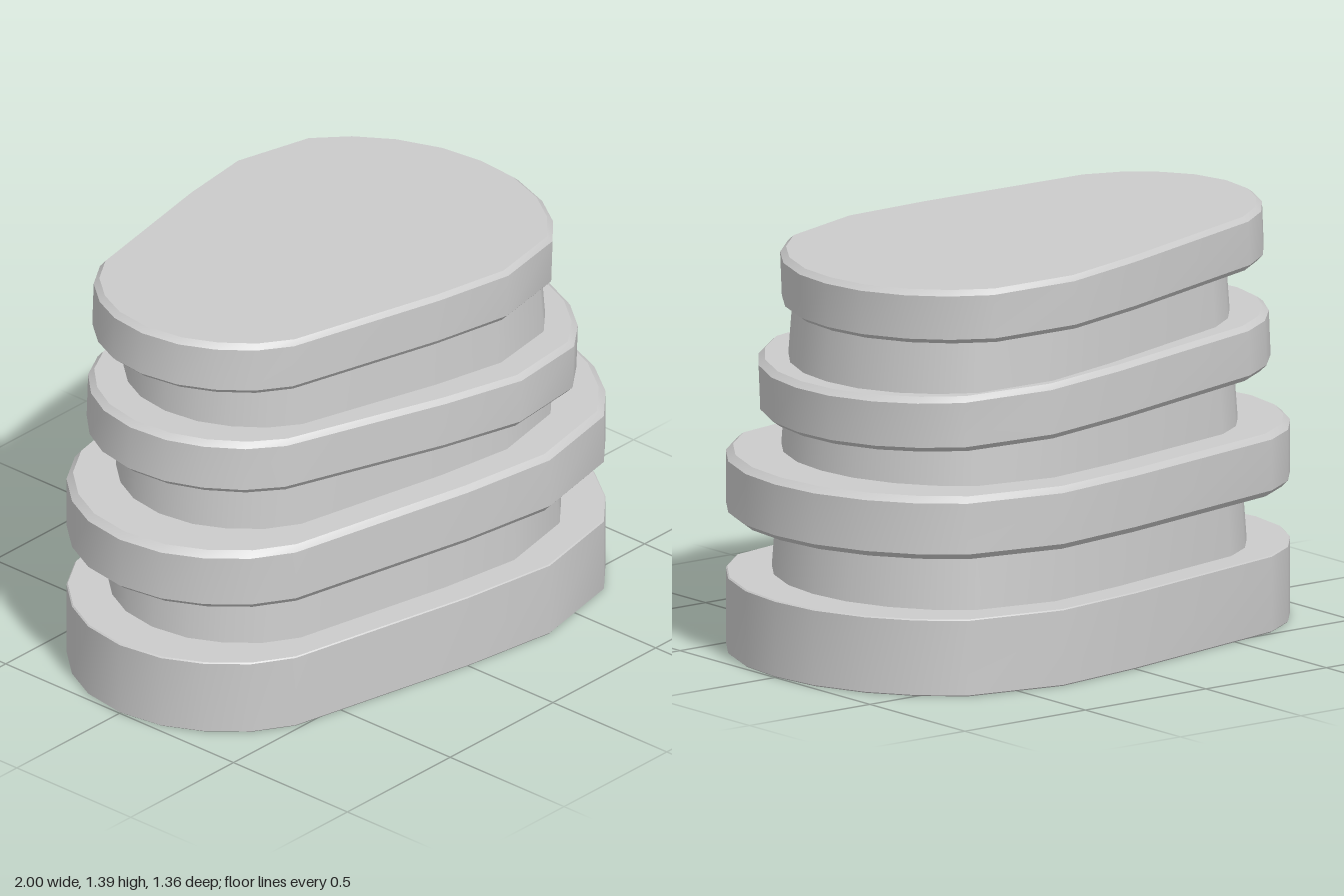
import * as THREE from 'three';
import { toCreasedNormals } from 'three/addons/utils/BufferGeometryUtils.js';

// Half of the egg-shaped outline (x, z), from the +x end round to the -x end
const HALF = [
  [1, 0], [0.98, 0.18], [0.91, 0.36], [0.81, 0.5], [0.68, 0.61], [0.34, 0.68], [0, 0.63],
  [-0.68, 0.485], [-0.81, 0.405], [-0.91, 0.29], [-0.975, 0.16], [-1, 0],
];
const OUTLINE = [...HALF, ...HALF.slice(1, -1).reverse().map(([x, z]) => [x, -z])];

// Closed solid from scaled copies of the outline; levels are [scale, y], bottom to top
function loft(levels) {
  const n = OUTLINE.length;
  const positions = [];
  const index = [];
  for (const [s, y] of levels) for (const [x, z] of OUTLINE) positions.push(x * s, y, z * s);
  const top = (levels.length - 1) * n;
  const bottomCentre = levels.length * n;
  positions.push(0, levels[0][1], 0, 0, levels[levels.length - 1][1], 0);
  for (let i = 0; i < n; i++) {
    const j = (i + 1) % n;
    for (let r = 0; r < top; r += n) {
      index.push(r + i, r + n + i, r + j, r + j, r + n + i, r + n + j);
    }
    index.push(bottomCentre, i, j, bottomCentre + 1, top + j, top + i);
  }
  const geometry = new THREE.BufferGeometry();
  geometry.setAttribute('position', new THREE.Float32BufferAttribute(positions, 3));
  geometry.setIndex(index);
  return toCreasedNormals(geometry, 0.5);
}

// Slab centred on its own origin with bevelled rims
function slab(scale, height, bevel) {
  const h = height / 2;
  const inner = scale - bevel * 1.25;
  return loft([[inner, -h], [scale, -h + bevel], [scale, h - bevel], [inner, h]]);
}

export function createModel() {
  const model = new THREE.Group();
  const material = new THREE.MeshStandardMaterial({ color: 0xcccccc });
  const add = (name, geometry) => {
    const mesh = new THREE.Mesh(geometry, material);
    mesh.name = name;
    model.add(mesh);
    return mesh;
  };

  // Tapered core running up through all the slabs
  add('core', loft([[0.842, 0.25], [0.764, 1.22]]));

  // Level slabs, then the two smaller ones that are tilted and twisted
  const slabs = [
    { name: 'base', scale: 1, height: 0.257, bevel: 0.004, at: [0, 0.1285, 0] },
    { name: 'lowerSlab', scale: 1, height: 0.21, bevel: 0.02, at: [0, 0.56, 0] },
    { name: 'middleSlab', scale: 0.895, height: 0.185, bevel: 0.018, at: [-0.035, 0.906, 0.022], twist: -0.05, tilt: -0.048 },
    { name: 'topSlab', scale: 0.86, height: 0.18, bevel: 0.017, at: [-0.05, 1.264, -0.008], twist: 0.025, tilt: -0.048 },
  ];
  for (const { name, scale, height, bevel, at, twist = 0, tilt = 0 } of slabs) {
    const mesh = add(name, slab(scale, height, bevel));
    mesh.position.set(...at);
    mesh.rotation.set(0, twist, tilt, 'ZYX');
  }
  return model;
}
